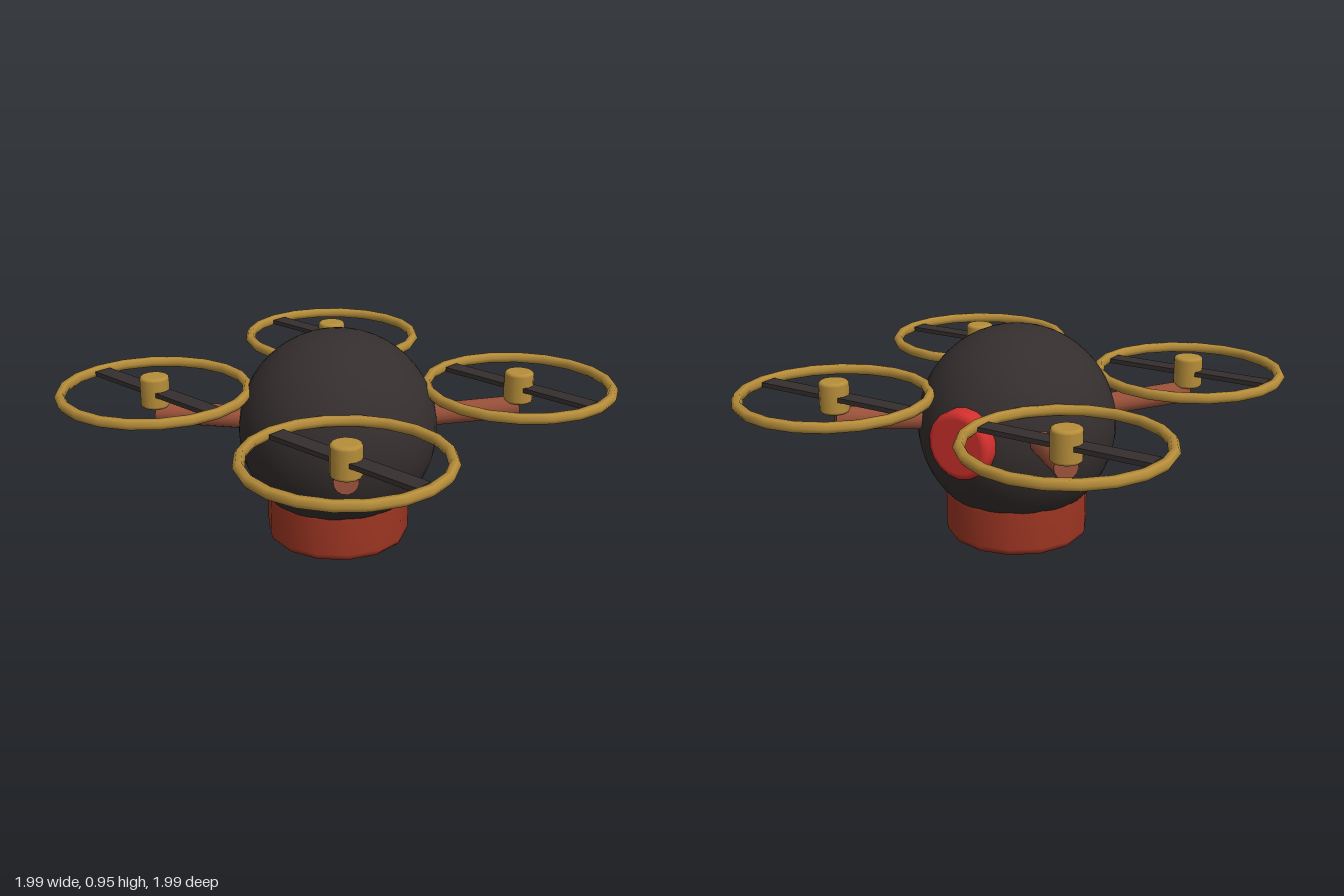
import * as THREE from 'three';

const material = (name, color) => {
  const m = new THREE.MeshStandardMaterial({ color });
  m.name = name;
  return m;
};

// Capped disc or drum with softly rounded rims, standing on y0
function drum(radius, y0, y1, bevel, sides) {
  const pts = [new THREE.Vector2(0, y0), new THREE.Vector2(radius - bevel - 0.004, y0)];
  for (let i = 0; i <= 3; i++) {
    const a = (i / 3) * Math.PI / 2;
    pts.push(new THREE.Vector2(radius - bevel + bevel * Math.sin(a), y0 + bevel - bevel * Math.cos(a)));
  }
  for (let i = 0; i <= 3; i++) {
    const a = (i / 3) * Math.PI / 2;
    pts.push(new THREE.Vector2(radius - bevel + bevel * Math.cos(a), y1 - bevel + bevel * Math.sin(a)));
  }
  pts.push(new THREE.Vector2(radius - bevel - 0.004, y1), new THREE.Vector2(0, y1));
  return new THREE.LatheGeometry(pts, sides);
}

export function createModel() {
  const group = new THREE.Group();
  const dark = material('charcoal', 0x352e2e);
  const rust = material('rust red', 0x9c3522);
  const copper = material('copper brown', 0x985039);
  const gold = material('gold', 0xb68d3a);
  const red = material('bright red', 0xd2302c);

  const add = (parent, name, geometry, mat) => {
    const mesh = new THREE.Mesh(geometry, mat);
    mesh.name = name;
    parent.add(mesh);
    return mesh;
  };

  // Round body on its base
  add(group, 'body', new THREE.SphereGeometry(0.44, 40, 28), dark).position.y = 0.52;
  add(group, 'base', drum(0.32, 0.005, 0.24, 0.035, 14), rust);

  // Button on the back
  const button = add(group, 'backButton', drum(0.15, 0, 0.1, 0.025, 18), red);
  button.rotation.x = -Math.PI / 2;
  button.position.set(0, 0.55, -0.378);

  // Four arms, each with a guarded rotor
  const hubGeometry = drum(0.065, -0.07, 0.07, 0.014, 14);
  const guardGeometry = new THREE.TorusGeometry(0.408, 0.024, 6, 20).rotateX(Math.PI / 2);
  const bladeGeometry = new THREE.BoxGeometry(0.75, 0.02, 0.08);
  const up = new THREE.Vector3(0, 1, 0);
  for (const sx of [-1, 1]) {
    for (const sz of [-1, 1]) {
      const from = new THREE.Vector3(sx * 0.24, 0.565, sz * 0.24);
      const to = new THREE.Vector3(sx * 0.565, 0.605, sz * 0.565);
      const dir = to.clone().sub(from);
      const arm = add(group, 'arm', new THREE.CylinderGeometry(0.05, 0.05, dir.length(), 14), copper);
      arm.position.copy(from).add(to).multiplyScalar(0.5);
      arm.quaternion.setFromUnitVectors(up, dir.normalize());

      const rotor = new THREE.Group();
      rotor.name = 'rotor';
      rotor.position.set(sx * 0.565, 0.7, sz * 0.565);
      add(rotor, 'hub', hubGeometry, gold);
      add(rotor, 'guardRing', guardGeometry, gold);
      add(rotor, 'blade', bladeGeometry, dark);
      group.add(rotor);
    }
  }
  return group;
}
